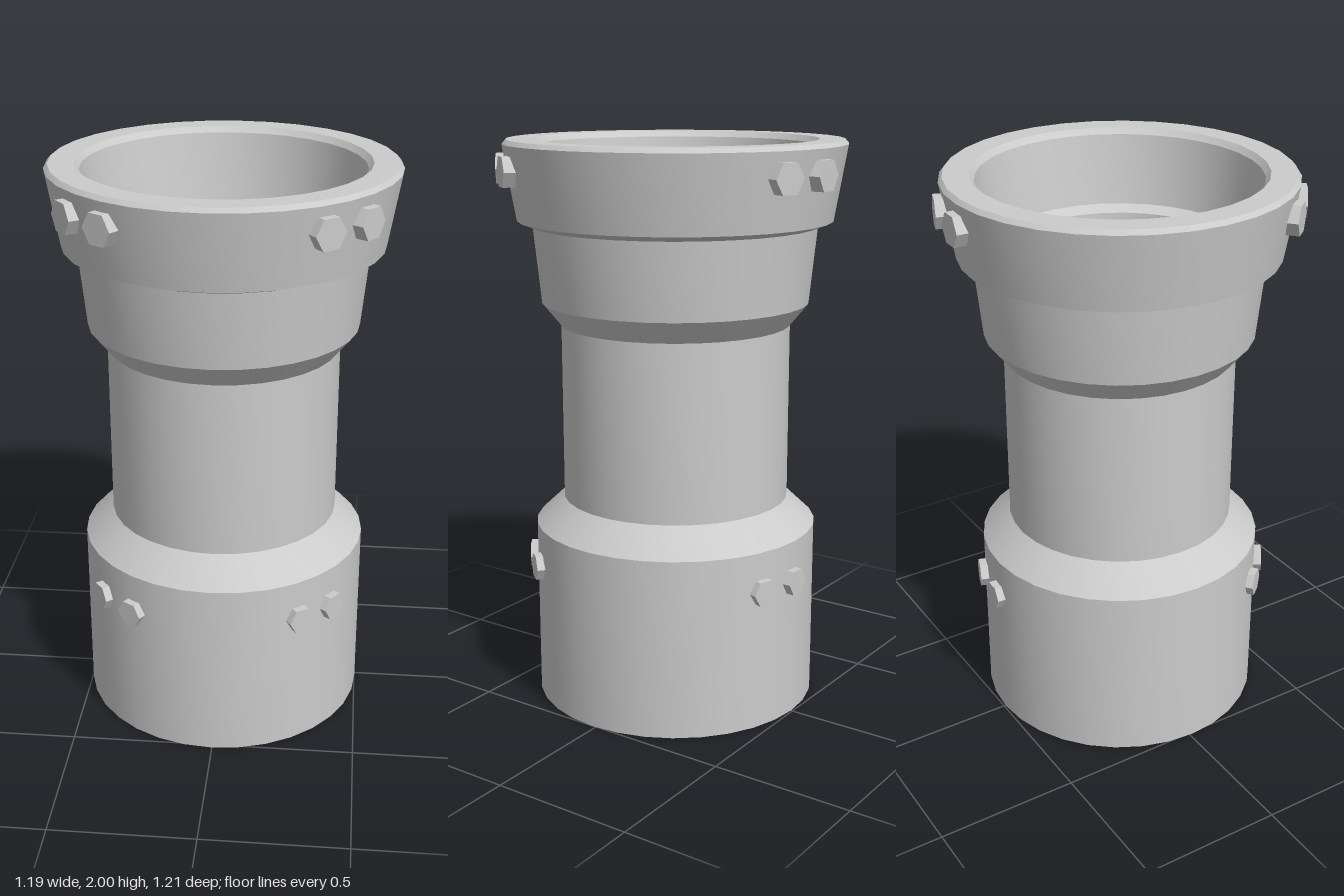
import * as THREE from 'three';
import { toCreasedNormals } from 'three/addons/utils/BufferGeometryUtils.js';

const material = new THREE.MeshStandardMaterial({ color: 0xcccccc });

// Hexagonal bolt head facing +z, with flats at top and bottom
function hexHead(radius, depth) {
  return new THREE.CylinderGeometry(radius, radius, depth, 6)
    .rotateY(Math.PI / 6).rotateX(Math.PI / 2).toNonIndexed();
}

// Ring of bolt heads set around the axis at the given angles (degrees from +z towards +x)
function boltRing(name, y, outerRadius, size, depth, angles) {
  const ring = new THREE.Group();
  ring.name = name;
  const geometry = hexHead(size, depth);
  geometry.computeVertexNormals();
  for (const degrees of angles) {
    const a = THREE.MathUtils.degToRad(degrees);
    const r = outerRadius - depth / 2;
    const bolt = new THREE.Mesh(geometry, material);
    bolt.name = 'bolt';
    bolt.position.set(r * Math.sin(a), y, r * Math.cos(a));
    bolt.rotation.y = a;
    ring.add(bolt);
  }
  return ring;
}

export function createModel() {
  const model = new THREE.Group();
  model.name = 'flaredBarrel';

  // Body: up the outside, over the rim, then down the stepped bore to its floor
  const profile = [
    // base sleeve and shoulder
    [0, 0], [0.505, 0], [0.505, 0.64], [0.405, 0.735],
    // neck and lower cup
    [0.405, 1.36], [0.47, 1.44], [0.497, 1.705],
    // flared collar and rim
    [0.55, 1.725], [0.595, 1.985], [0.582, 2], [0.495, 2],
    // stepped bore
    [0.478, 1.98], [0.44, 1.735], [0.395, 1.715], [0.375, 1.44], [0.325, 1.36], [0, 1.36],
  ].map(([r, y]) => new THREE.Vector2(r, y));
  const body = new THREE.Mesh(
    toCreasedNormals(new THREE.LatheGeometry(profile, 32), 0.3), material);
  body.name = 'body';
  model.add(body);

  // Three pairs of bolts on the collar and on the base sleeve
  const angles = [178, 160.5, 54, 37, -34, -51];
  model.add(boltRing('collarBolts', 1.9, 0.615, 0.058, 0.07, angles));
  model.add(boltRing('baseBolts', 0.5, 0.53, 0.049, 0.06, [178, 160.5, 52.5, 36, -33.5, -51.5]));

  for (const part of model.children) part.position.set(-0.003, 0, 0.011);
  return model;
}
